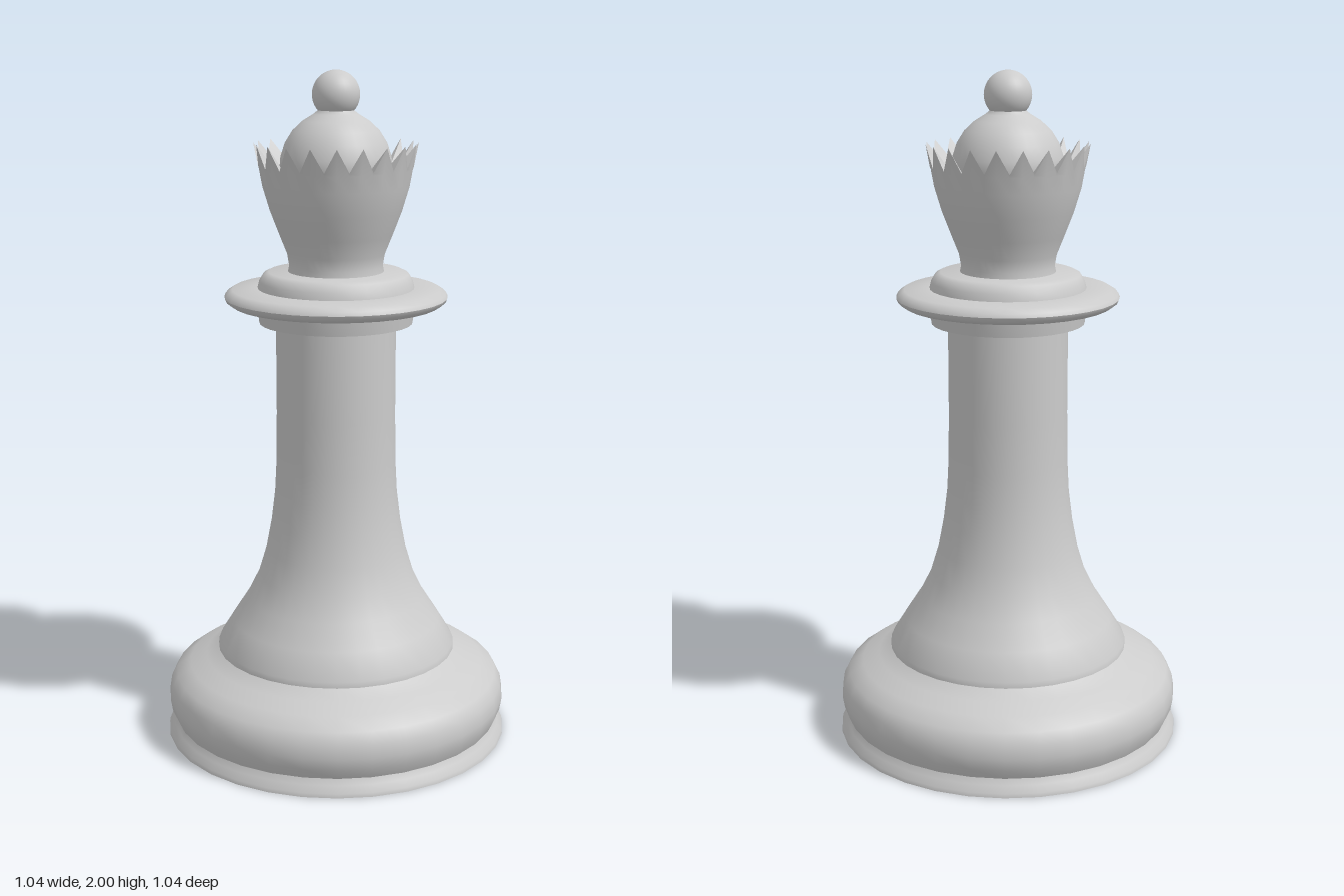
import * as THREE from 'three';
import { toCreasedNormals } from 'three/addons/utils/BufferGeometryUtils.js';

const material = new THREE.MeshStandardMaterial({ color: 0xcccccc });

function addMesh(group, name, geometry) {
  const mesh = new THREE.Mesh(geometry, material);
  mesh.name = name;
  group.add(mesh);
  return mesh;
}

// Turned profile, listed as [radius, height] from bottom to top
function turned(profile, segments = 32) {
  return new THREE.LatheGeometry(profile.map(([r, y]) => new THREE.Vector2(r, y)), segments);
}

// Cup whose rim zigzags: every second rim vertex drops into a notch
function crownGeometry(teeth) {
  const geometry = turned([
    [0, 1.41], [0.143, 1.41], [0.137, 1.44], [0.143, 1.475], [0.165, 1.53],
    [0.192, 1.6], [0.213, 1.67], [0.222, 1.72],
    [0.238, 1.795],
    [0.175, 1.71], [0.15, 1.69], [0, 1.69],
  ], teeth * 2);
  const p = geometry.attributes.position;
  for (let i = 0; i < p.count; i++) {
    if (p.getY(i) < 1.78) continue;
    const step = Math.round(Math.atan2(p.getX(i), p.getZ(i)) / (Math.PI / teeth));
    if (step % 2 === 0) continue;
    const k = 0.225 / 0.238;
    p.setXYZ(i, p.getX(i) * k, 1.728, p.getZ(i) * k);
  }
  return toCreasedNormals(geometry, 0.9);
}

export function createModel() {
  const group = new THREE.Group();

  // Foot with a flared lip and rounded shoulder
  addMesh(group, 'base', toCreasedNormals(turned([
    [0, 0], [0.52, 0], [0.518, 0.012], [0.503, 0.03], [0.495, 0.048], [0.51, 0.08],
    [0.516, 0.115], [0.51, 0.155], [0.492, 0.188], [0.45, 0.217], [0.4, 0.24],
    [0.36, 0.262], [0.34, 0.28], [0, 0.28],
  ]), 0.7));

  // Stem sweeping in to a straight neck
  addMesh(group, 'stem', toCreasedNormals(turned([
    [0.362, 0.265], [0.36, 0.282], [0.315, 0.355], [0.27, 0.425], [0.236, 0.495],
    [0.212, 0.575], [0.195, 0.665], [0.184, 0.755], [0.179, 0.85], [0.177, 1.0], [0.177, 1.29],
  ]), 0.7));

  // Stepped collar with a wide flange
  addMesh(group, 'collar', toCreasedNormals(turned([
    [0.17, 1.272], [0.226, 1.272], [0.234, 1.326], [0.305, 1.326], [0.323, 1.338],
    [0.328, 1.349], [0.323, 1.36], [0.305, 1.372], [0.23, 1.375], [0.225, 1.396],
    [0.213, 1.416], [0.198, 1.423], [0, 1.425],
  ]), 0.7));

  addMesh(group, 'crown', crownGeometry(20));

  // Domed cap with a small fillet running up to the finial
  addMesh(group, 'dome', turned([
    [0.15, 1.67], [0.163, 1.72], [0.16, 1.755], [0.147, 1.795], [0.125, 1.83],
    [0.096, 1.857], [0.065, 1.876], [0.05, 1.888], [0.045, 1.905],
  ]));

  const finial = addMesh(group, 'finial', new THREE.SphereGeometry(0.069, 32, 20));
  finial.position.y = 1.931;

  return group;
}
